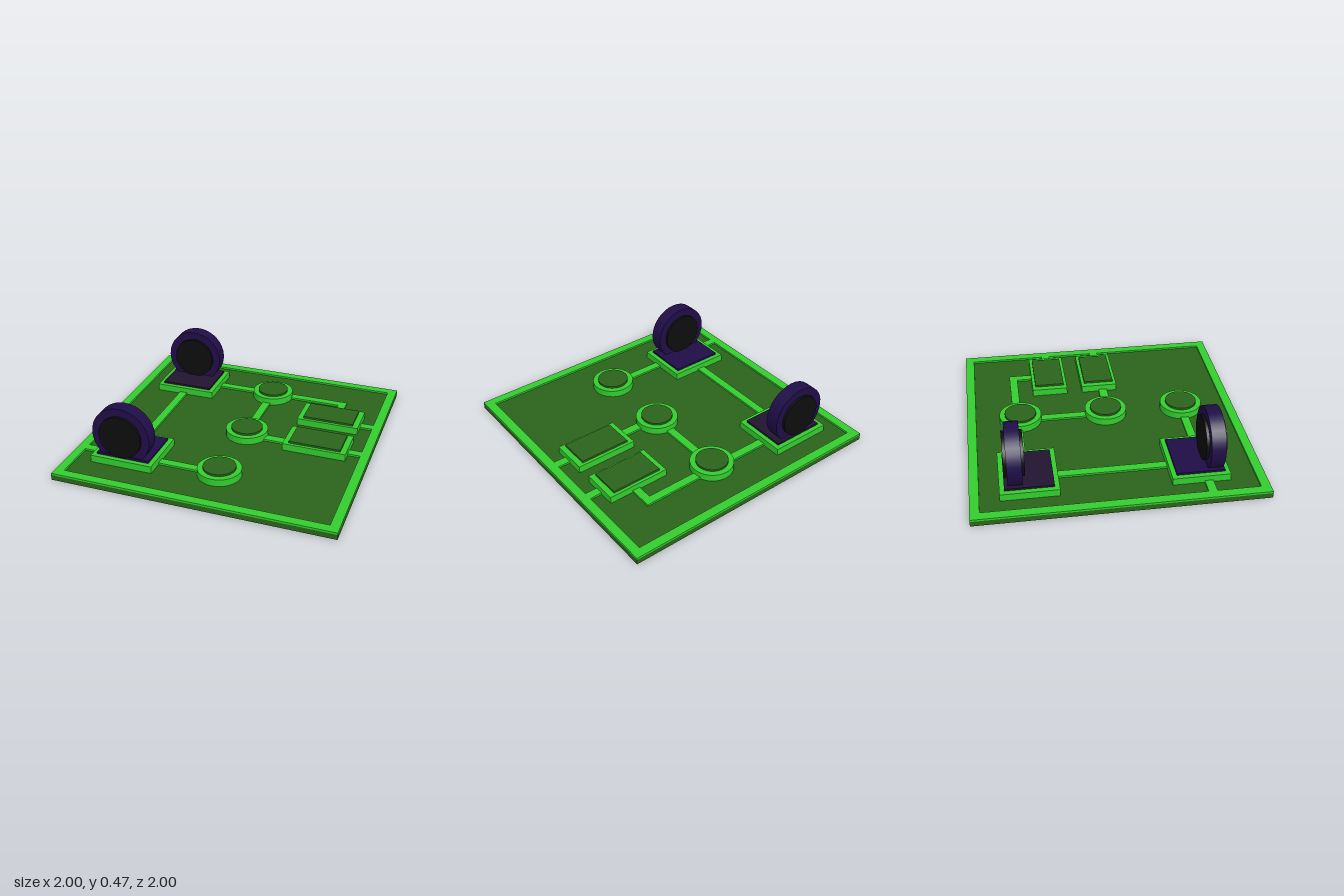
import * as THREE from 'three';

const mat = (color) => new THREE.MeshStandardMaterial({ color });

export function createModel() {
  const model = new THREE.Group();
  const bright = mat(0x33cc2e), dark = mat(0x2a631a), black = mat(0x0d0d0d);
  const purple = mat(0x1f0d47), dullPurple = mat(0x20142f);
  const FLOOR = 0.038, TRACE = 0.052, PAD = 0.09, CAP = 0.105;

  const add = (name, geometry, material, parent = model) => {
    const mesh = new THREE.Mesh(geometry, material);
    mesh.name = name;
    parent.add(mesh);
    return mesh;
  };

  // Box given by its extents on each axis
  const block = (name, x0, x1, y0, y1, z0, z1, material, parent) => {
    const mesh = add(name, new THREE.BoxGeometry(x1 - x0, y1 - y0, z1 - z0), material, parent);
    mesh.position.set((x0 + x1) / 2, (y0 + y1) / 2, (z0 + z1) / 2);
    return mesh;
  };

  // Base board and its raised border
  block('board', -1, 1, 0, FLOOR, -1, 1, dark);
  const rect = (s, r) => s.moveTo(-r, -r).lineTo(r, -r).lineTo(r, r).lineTo(-r, r).closePath();
  const frame = rect(new THREE.Shape(), 1);
  frame.holes.push(rect(new THREE.Path(), 0.935));
  const border = add('border', new THREE.ExtrudeGeometry(frame, { depth: TRACE - FLOOR, bevelEnabled: false }), bright);
  border.rotation.x = -Math.PI / 2;
  border.position.y = FLOOR;

  // Raised traces joining the pads: x0, x1, z0, z1
  const traces = [
    [-0.40, -0.04, -0.66, -0.60],
    [0.19, 0.668, -0.66, -0.60],
    [0.61, 0.668, -0.60, -0.47],
    [0.04, 0.10, -0.49, -0.08],
    [0.20, 0.40, 0.02, 0.085],
    [0.83, 0.94, -0.38, -0.32],
    [0.83, 0.94, 0.02, 0.08],
    [-0.64, -0.58, -0.42, 0.37],
    [-0.94, -0.80, 0.575, 0.635],
    [-0.40, -0.04, 0.575, 0.635],
  ];
  for (const [x0, x1, z0, z1] of traces) block('trace', x0, x1, FLOOR - 0.01, TRACE, z0, z1, bright);

  // Round pads with raised dark caps
  for (const z of [-0.607, 0.03, 0.603]) {
    const pad = new THREE.Group();
    pad.name = 'roundPad';
    pad.position.set(0.077, 0, z);
    add('padBase', new THREE.CylinderGeometry(0.155, 0.155, PAD - 0.03, 32), bright, pad).position.y = (PAD + 0.03) / 2;
    add('padCap', new THREE.CylinderGeometry(0.115, 0.115, CAP - 0.05, 32), dark, pad).position.y = (CAP + 0.05) / 2;
    model.add(pad);
  }

  // Rectangular pads: a bright base with an inset, slightly higher cap
  const rectPad = (name, x0, x1, z0, z1, ix, iz, capMaterial) => {
    const pad = new THREE.Group();
    pad.name = name;
    block('padBase', x0, x1, 0.03, PAD, z0, z1, bright, pad);
    block('padCap', x0 + ix, x1 - ix, 0.05, CAP, z0 + iz, z1 - iz, capMaterial, pad);
    model.add(pad);
  };
  rectPad('sidePad', 0.385, 0.845, -0.49, -0.225, 0.042, 0.022, dark);
  rectPad('sidePad', 0.385, 0.845, -0.11, 0.16, 0.042, 0.023, dark);
  rectPad('wheelPad', -0.825, -0.365, -0.80, -0.40, 0.035, 0.033, dullPurple);
  rectPad('wheelPad', -0.825, -0.365, 0.355, 0.755, 0.035, 0.033, purple);

  // Upright wheels with a black disc standing proud on both faces
  for (const z of [-0.692, 0.66]) {
    const wheel = new THREE.Group();
    wheel.name = 'wheel';
    wheel.position.set(-0.605, 0.255, z);
    wheel.rotation.x = Math.PI / 2;
    add('wheelRim', new THREE.CylinderGeometry(0.215, 0.215, 0.1, 32), purple, wheel);
    add('wheelDisc', new THREE.CylinderGeometry(0.157, 0.157, 0.14, 32), black, wheel);
    model.add(wheel);
  }

  return model;
}
